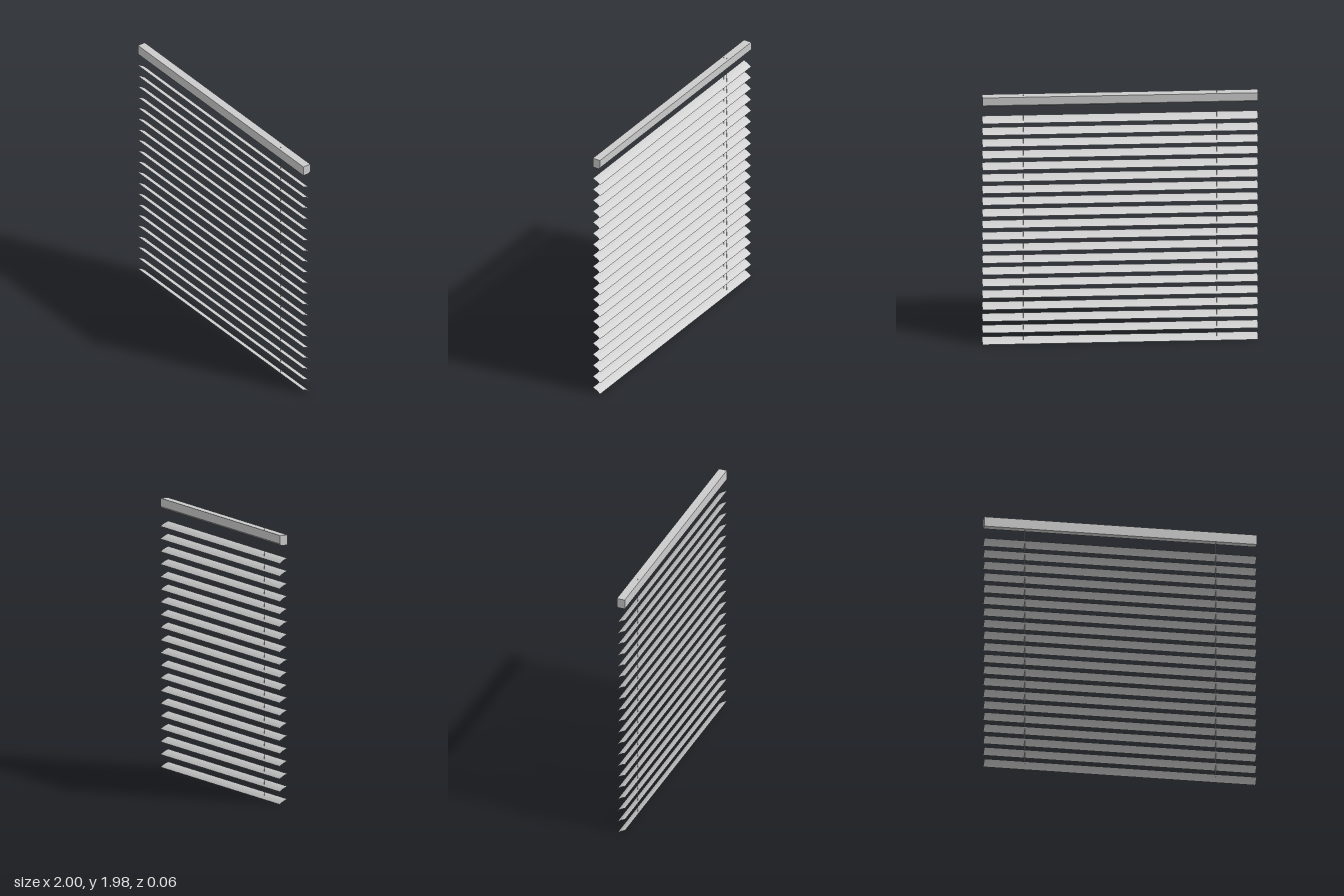
import * as THREE from 'three';

const WIDTH = 2;
const SLATS = 20;
const PITCH = 0.0929;
const CHORD = 0.073;
const CROWN = 0.004;
const TILT = Math.PI / 6;

// Thin slat, crowned across its depth and tilted with the front edge high
function slatGeometry() {
  const geo = new THREE.PlaneGeometry(WIDTH, CHORD, 1, 8).rotateX(-Math.PI / 2);
  const pos = geo.attributes.position;
  for (let i = 0; i < pos.count; i++) {
    const t = pos.getZ(i) / (CHORD / 2);
    pos.setY(i, CROWN * (0.5 - t * t));
  }
  geo.rotateX(-TILT);
  geo.computeVertexNormals();
  return geo;
}

// Solid rail with a bevelled lower back edge, extruded along x
function headRailGeometry() {
  const d = 0.031, y0 = 1.898, y1 = 1.973, c = 0.013;
  // Shape x becomes -z after the turn
  const shape = new THREE.Shape([
    new THREE.Vector2(-d, y0),
    new THREE.Vector2(d - c, y0),
    new THREE.Vector2(d, y0 + c),
    new THREE.Vector2(d, y1),
    new THREE.Vector2(-d, y1),
  ]);
  const geo = new THREE.ExtrudeGeometry(shape, { depth: WIDTH, bevelEnabled: false });
  return geo.translate(0, 0, -WIDTH / 2).rotateY(Math.PI / 2);
}

export function createModel() {
  const model = new THREE.Group();
  model.name = 'venetianBlind';
  const solid = new THREE.MeshStandardMaterial({ color: 0xcccccc });
  const thin = new THREE.MeshStandardMaterial({ color: 0xcccccc, side: THREE.DoubleSide });

  const add = (name, geo, mat, x = 0, y = 0, z = 0) => {
    const mesh = new THREE.Mesh(geo, mat);
    mesh.name = name;
    mesh.position.set(x, y, z);
    model.add(mesh);
  };

  add('headRail', headRailGeometry(), solid);

  // Stack of slats, the lowest touching the ground
  const slat = slatGeometry();
  slat.computeBoundingBox();
  const base = -slat.boundingBox.min.y;
  for (let i = 0; i < SLATS; i++) {
    add(i === 0 ? 'bottomSlat' : 'slat', slat, thin, 0, base + i * PITCH, 0);
  }

  // Flat ladder cords, a front and a back one on each side
  const low = 0.025, high = 1.984;
  const cord = new THREE.PlaneGeometry(0.003, high - low);
  for (const x of [-0.702, 0.702]) {
    for (const z of [-0.013, 0.013]) {
      add(z > 0 ? 'frontCord' : 'backCord', cord, thin, x, (low + high) / 2, z);
    }
  }
  return model;
}
